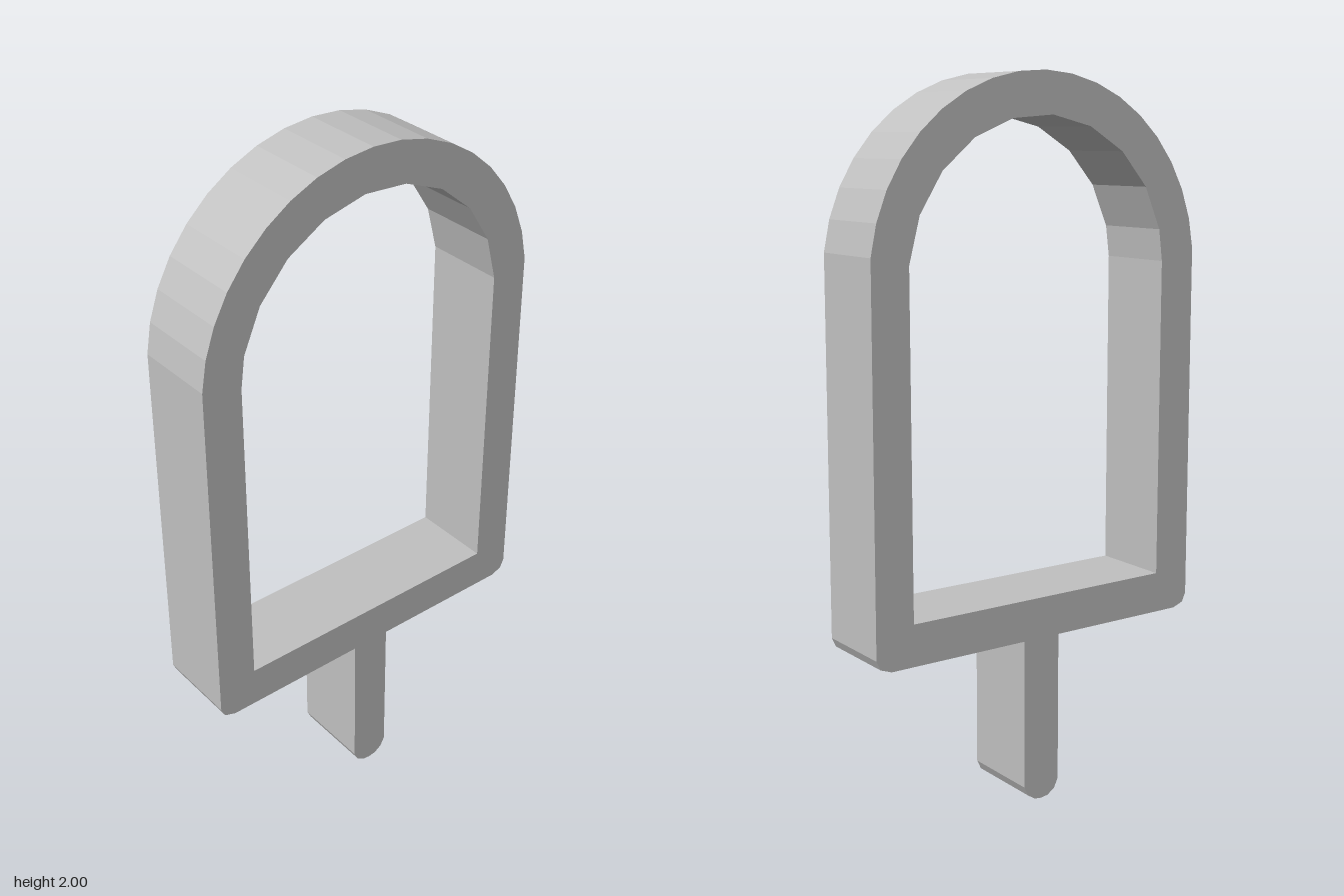
import * as THREE from 'three';

const DEPTH = 0.235;
const ARCH_Y = 1.473;

// Points along the faceted arch, from right to left, angles in degrees
function arch(radius, start, step, count) {
  return Array.from({ length: count }, (_, i) => {
    const a = THREE.MathUtils.degToRad(start + step * i);
    return new THREE.Vector2(radius * Math.cos(a), ARCH_Y + radius * Math.sin(a));
  });
}

const points = (list) => list.map(([x, y]) => new THREE.Vector2(x, y));

export function createModel() {
  const group = new THREE.Group();
  group.name = 'iceLollyCutter';
  const grey = new THREE.MeshStandardMaterial({ color: 0xc0c0c0, flatShading: true });
  grey.name = 'plain grey';

  // One continuous outline: stick, clipped lower corners, arched top
  const right = [[0.022, 0.003], [0.045, 0.018], [0.058, 0.045], [0.058, 0.472],
    [0.482, 0.472], [0.515, 0.484], [0.527, 0.51]];
  const left = right.map(([x, y]) => [-x, y]).reverse();
  const outline = new THREE.Shape([
    ...points([[0, 0]]),
    ...points(right),
    ...arch(0.527, 7.3, 9.3, 19),
    ...points(left),
  ]);

  // Arched opening
  outline.holes.push(new THREE.Path([
    ...points([[0.413, 0.588]]),
    ...arch(0.415, 6, 17.7, 10),
    ...points([[-0.413, 1.49], [-0.413, 0.588]]),
  ]));

  const geometry = new THREE.ExtrudeGeometry(outline, { depth: DEPTH, bevelEnabled: false });
  geometry.translate(0, 0, -DEPTH / 2);
  const frame = new THREE.Mesh(geometry, grey);
  frame.name = 'frameAndStick';
  group.add(frame);
  return group;
}
